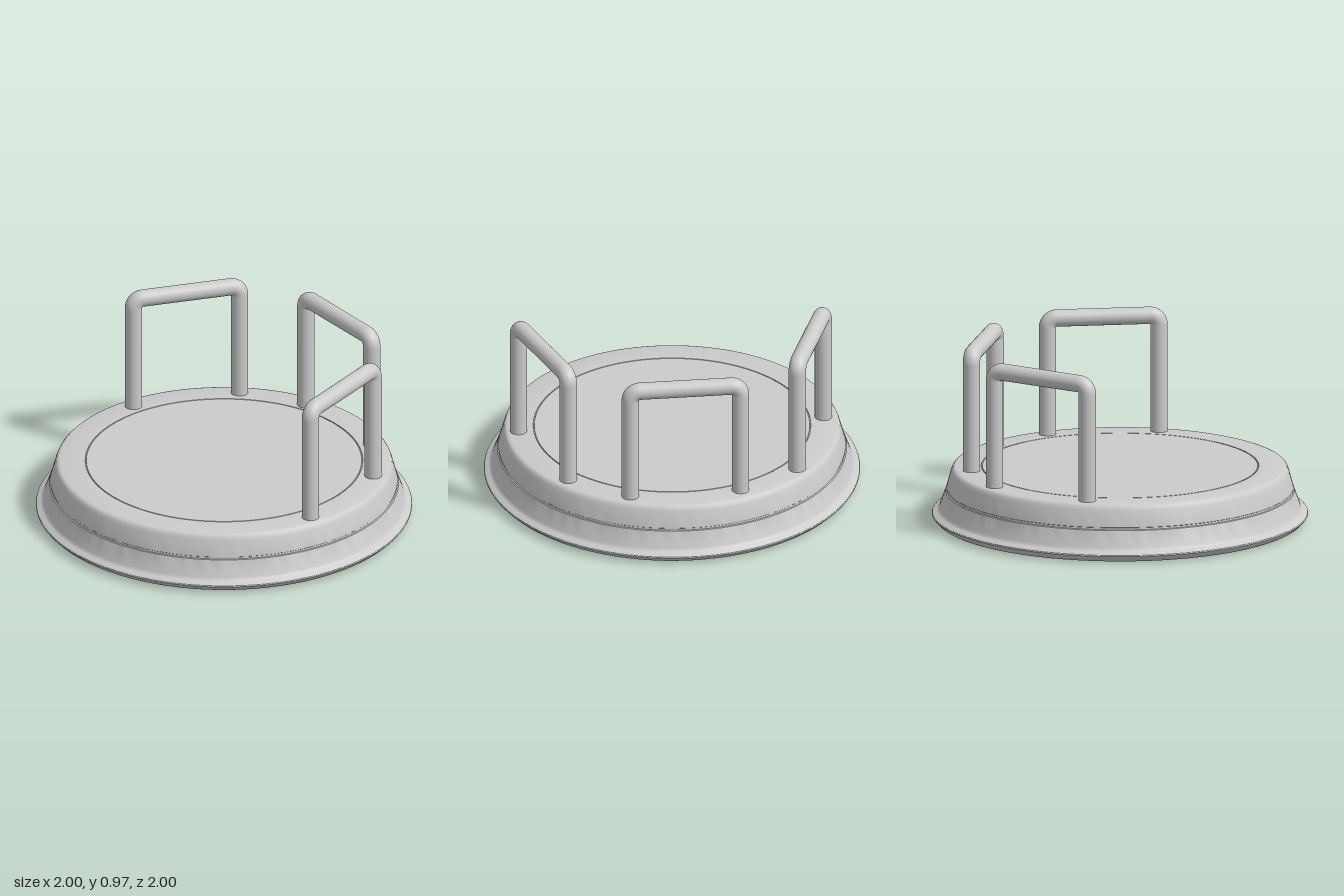
import * as THREE from 'three';
import { toCreasedNormals } from 'three/addons/utils/BufferGeometryUtils.js';

const ROD = 0.046; // rod radius
const BEND = 0.05; // bend radius of the rod's centre line
const DECK = 0.295; // height of the deck
const BAR = 0.927; // height of the bar's centre line

const material = new THREE.MeshStandardMaterial({ color: 0xcccccc });

function addMesh(parent, name, geometry, x = 0, y = 0, z = 0) {
  const mesh = new THREE.Mesh(geometry, material);
  mesh.name = name;
  mesh.position.set(x, y, z);
  parent.add(mesh);
  return mesh;
}

// A bent rod standing on the deck between two points (x, z)
function createHandrail(name, [x0, z0], [x1, z1]) {
  const rail = new THREE.Group();
  rail.name = name;
  const half = Math.hypot(x1 - x0, z1 - z0) / 2;
  rail.position.set((x0 + x1) / 2, 0, (z0 + z1) / 2);
  rail.rotation.y = -Math.atan2(z1 - z0, x1 - x0);

  const bottom = DECK - 0.03;
  const bendY = BAR - BEND;
  for (const side of [-1, 1]) {
    addMesh(rail, 'post', new THREE.CylinderGeometry(ROD, ROD, bendY - bottom, 32), side * half, (bendY + bottom) / 2);
    const bend = addMesh(rail, 'bend', new THREE.TorusGeometry(BEND, ROD, 32, 12, Math.PI / 2), side * (half - BEND), bendY);
    if (side < 0) bend.rotation.y = Math.PI;
  }
  const bar = addMesh(rail, 'bar', new THREE.CylinderGeometry(ROD, ROD, 2 * (half - BEND), 32, 1, true), 0, BAR);
  bar.rotation.z = Math.PI / 2;
  return rail;
}

export function createModel() {
  const model = new THREE.Group();
  model.name = 'roundPlatform';

  // Base: flared lip, sloping side with a thin step, rounded rim, fine groove in the deck
  const profile = [
    [0, 0], [0.945, 0], [0.965, 0.004], [0.975, 0.01], [0.995, 0.03], [1, 0.038],
    [0.998, 0.044], [0.99, 0.05], [0.973, 0.058], [0.966, 0.063], [0.96, 0.075],
    [0.928, 0.163], [0.922, 0.166], [0.921, 0.176], [0.923, 0.178],
    [0.899, 0.265], [0.892, 0.282], [0.884, 0.291], [0.872, DECK],
    [0.738, DECK], [0.737, DECK - 0.005], [0.733, DECK - 0.005], [0.732, DECK], [0, DECK],
  ].map(([r, y]) => new THREE.Vector2(r, y));
  addMesh(model, 'base', toCreasedNormals(new THREE.LatheGeometry(profile, 128), 0.6));

  // Handrails
  model.add(
    createHandrail('backHandrail', [-0.28, -0.747], [0.31, -0.747]),
    createHandrail('leftHandrail', [0.617, -0.53], [0.818, 0.033]),
    createHandrail('rightHandrail', [-0.606, -0.55], [-0.81, 0]),
  );
  return model;
}
